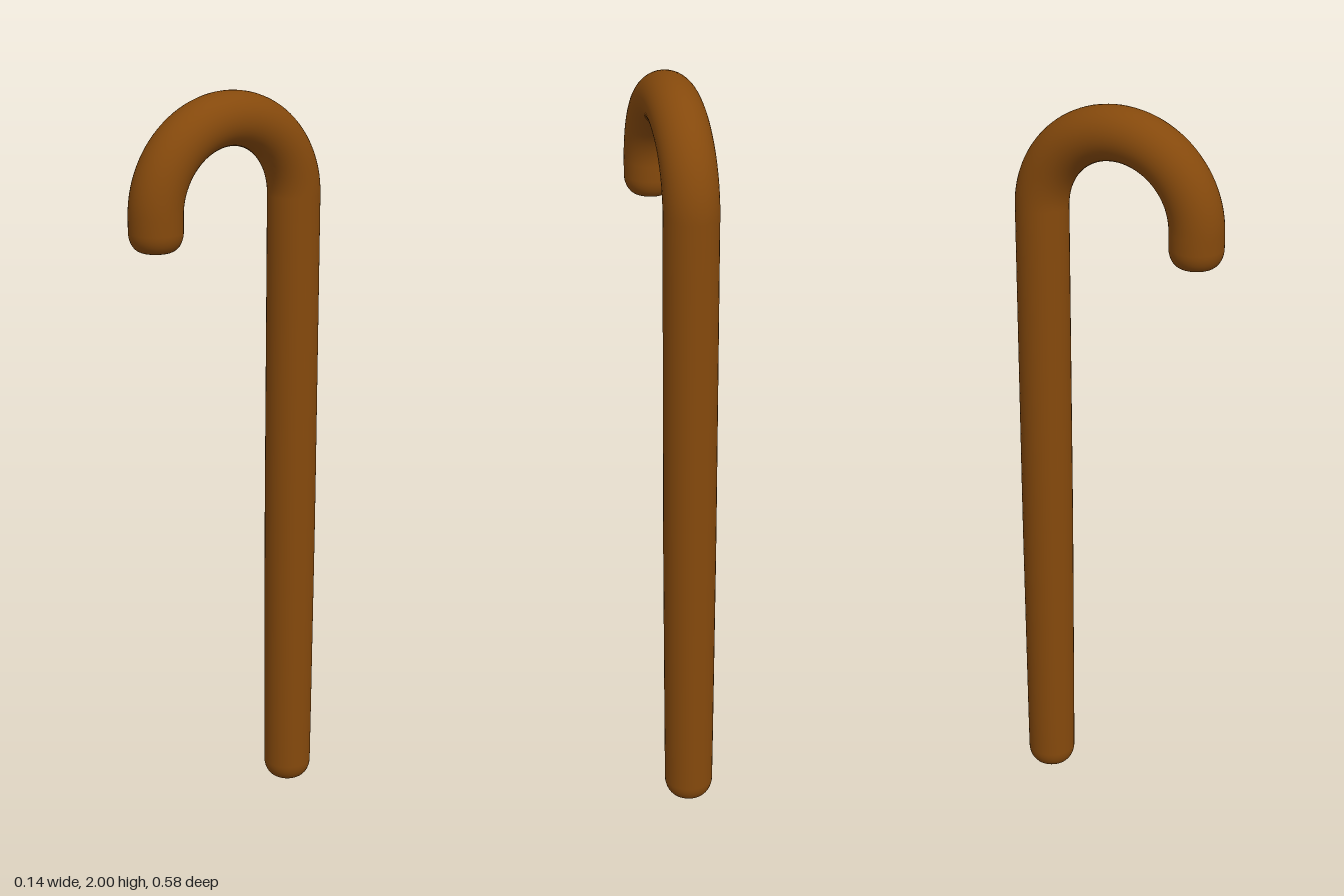
import * as THREE from 'three';
import { mergeVertices } from 'three/addons/utils/BufferGeometryUtils.js';

const BEND_Y = 1.71;   // height where the crook starts
const BEND_R = 0.22;   // crook radius along the centre line
const ARC = Math.PI * BEND_R;
const TIP = 0.09;      // straight length after the crook
const LENGTH = BEND_Y + ARC + TIP;
const ROUND = 0.05;    // rounding of both ends

// Stick thickness: slightly slimmer towards the foot
const radiusAt = (s) => 0.066 + 0.004 * Math.min(1, s / 0.8);

// Profile of the straightened stick, from foot to tip
function stickProfile() {
  const pts = [new THREE.Vector2(0, 0)];
  const corner = (i) => (i / 8) * Math.PI / 2;
  for (let i = 0; i <= 8; i++) {
    const a = corner(i);
    pts.push(new THREE.Vector2(radiusAt(0) - ROUND + 0.016 + (ROUND - 0.016) * Math.sin(a), ROUND * (1 - Math.cos(a))));
  }
  for (let i = 1; i <= 12; i++) {
    const s = ROUND + (BEND_Y - ROUND) * i / 12;
    pts.push(new THREE.Vector2(radiusAt(s), s));
  }
  for (let i = 1; i <= 48; i++) pts.push(new THREE.Vector2(0.07, BEND_Y + ARC * i / 48));
  for (let i = 8; i >= 0; i--) {
    const a = corner(i);
    pts.push(new THREE.Vector2(0.036 + 0.034 * Math.sin(a), LENGTH - ROUND * (1 - Math.cos(a))));
  }
  pts.push(new THREE.Vector2(0, LENGTH));
  return pts;
}

// Bend the upper part forward into a half circle, then straight down
function bend(geometry) {
  const p = geometry.attributes.position;
  for (let i = 0; i < p.count; i++) {
    const s = p.getY(i), r = BEND_R - p.getZ(i);
    const angle = THREE.MathUtils.clamp((s - BEND_Y) / BEND_R, 0, Math.PI);
    const straight = Math.min(s, BEND_Y) - Math.max(0, s - BEND_Y - ARC);
    p.setY(i, straight + r * Math.sin(angle));
    p.setZ(i, -r * Math.cos(angle));
  }
}

export function createModel() {
  const group = new THREE.Group();
  group.name = 'walkingCane';

  let geometry = new THREE.LatheGeometry(stickProfile(), 40);
  bend(geometry);
  // Weld the seam so the shading stays smooth all round
  geometry.deleteAttribute('uv');
  geometry.deleteAttribute('normal');
  geometry = mergeVertices(geometry, 1e-5);
  geometry.computeVertexNormals();

  const cane = new THREE.Mesh(geometry, new THREE.MeshStandardMaterial({ color: 0x85490c }));
  cane.name = 'shaftAndCrook';
  group.add(cane);
  return group;
}
